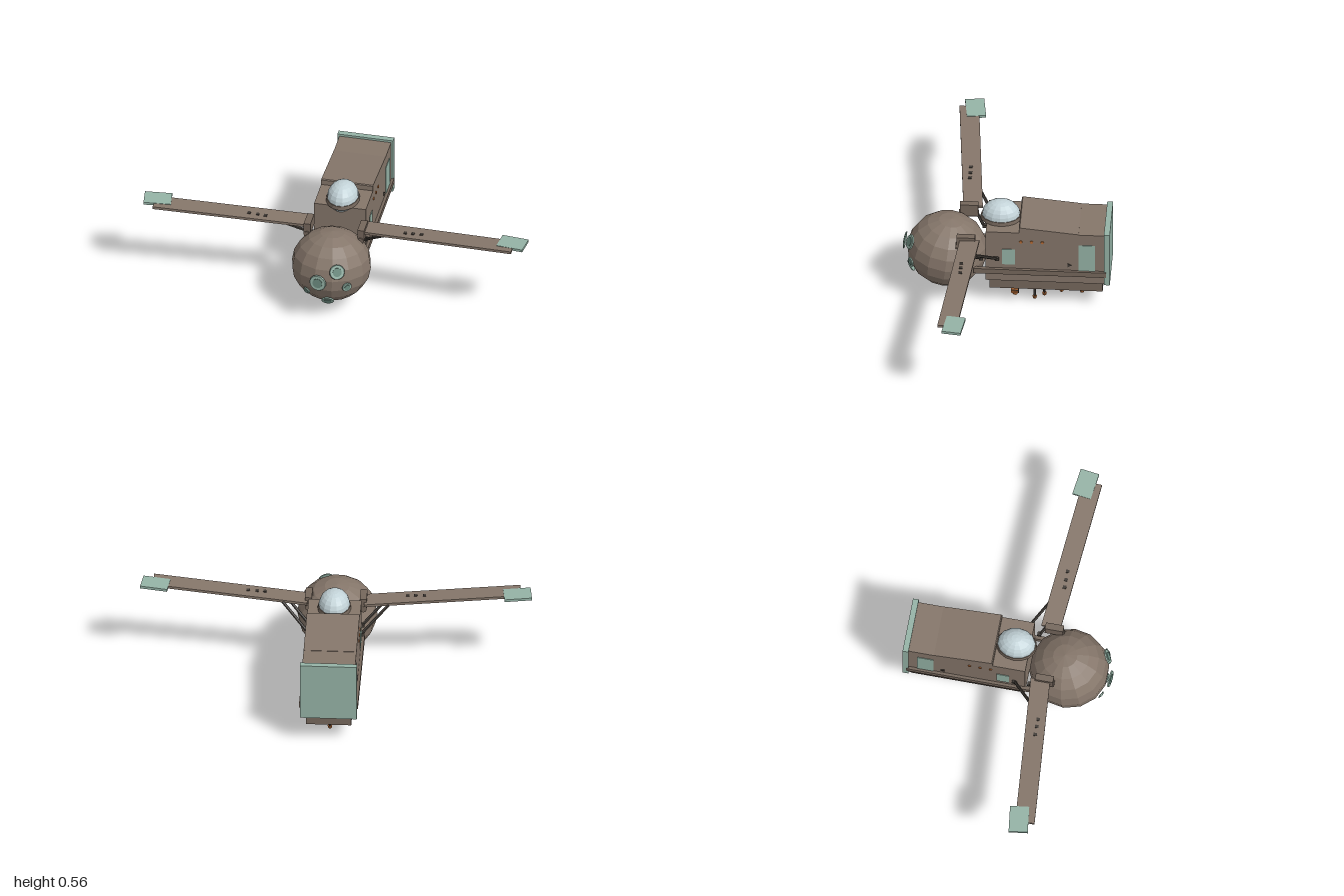
import * as THREE from 'three';

const mat = (color) => new THREE.MeshStandardMaterial({ color, flatShading: true });

export function createModel() {
  const model = new THREE.Group();
  const brown = mat(0x85766a), trim = mat(0x75675c), dark = mat(0x403b36);
  const teal = mat(0x95b3a6), deepTeal = mat(0x6c8c80), orange = mat(0xb86c35), glass = mat(0xc3d3d8);

  const add = (name, geometry, material, x = 0, y = 0, z = 0) => {
    const mesh = new THREE.Mesh(geometry, material);
    mesh.name = name;
    mesh.position.set(x, y, z);
    model.add(mesh);
    return mesh;
  };
  // box given by its width, and its y and z ranges
  const box = (name, material, x, w, y0, y1, z0, z1) =>
    add(name, new THREE.BoxGeometry(w, y1 - y0, z1 - z0), material, x, (y0 + y1) / 2, (z0 + z1) / 2);
  // rod between two points
  const rod = (name, material, a, b, r0, r1 = r0, sides = 6) => {
    const p = new THREE.Vector3(...a), q = new THREE.Vector3(...b), d = q.clone().sub(p);
    const mesh = add(name, new THREE.CylinderGeometry(r1, r0, d.length(), sides), material);
    mesh.position.copy(p).add(q).multiplyScalar(0.5);
    mesh.quaternion.setFromUnitVectors(new THREE.Vector3(0, 1, 0), d.normalize());
    return mesh;
  };

  // round nose
  const nose = add('nose', new THREE.SphereGeometry(0.205, 14, 10), brown, 0, 0.248, 0.308);
  nose.scale.y = 0.915;
  nose.rotation.x = -0.12;

  // portholes floating just off the nose: offset from its centre, radius
  const centre = new THREE.Vector3(0, 0.25, 0.31);
  const portholes = [
    [-0.025, 0.02, 0.216, 0.045], [0.07, 0.08, 0.185, 0.04], [0.12, -0.01, 0.178, 0.026],
    [-0.09, -0.06, 0.18, 0.02], [0.02, -0.105, 0.182, 0.033],
  ];
  for (const [x, y, z, r] of portholes) {
    const offset = new THREE.Vector3(x, y, z), n = offset.clone().normalize();
    const at = centre.clone().add(offset);
    const turn = new THREE.Quaternion().setFromUnitVectors(new THREE.Vector3(0, 1, 0), n);
    const rim = add('portholeRim', new THREE.CylinderGeometry(r * 0.92, r, 0.006, 14), teal);
    const pane = add('portholePane', new THREE.CylinderGeometry(r * 0.58, r * 0.58, 0.004, 14), deepTeal);
    rim.position.copy(at);
    pane.position.copy(at).addScaledVector(n, 0.004);
    rim.quaternion.copy(turn);
    pane.quaternion.copy(turn);
  }
  rod('noseSensor', orange, [-0.05, 0.1, 0.35], [-0.05, 0.068, 0.355], 0.016, 0.016, 8);

  // hull, keel and rear plate
  box('hull', brown, 0, 0.27, 0.155, 0.46, -0.51, 0.104);
  box('keel', trim, 0, 0.23, 0.092, 0.16, -0.492, 0.085);
  box('rearPlate', teal, 0, 0.29, 0.155, 0.472, -0.53, -0.5);

  // sloping roof wedge
  const side = new THREE.Shape();
  side.moveTo(0.065, 0.45);
  side.lineTo(0.37, 0.45);
  side.lineTo(0.37, 0.462);
  side.lineTo(0.07, 0.492);
  side.lineTo(0.065, 0.488);
  const roof = new THREE.ExtrudeGeometry(side, { depth: 0.27, bevelEnabled: false });
  roof.translate(0, 0, -0.135).rotateY(Math.PI / 2);
  add('roofWedge', roof, brown);

  // canopy dome on its oval collar
  add('canopy', new THREE.SphereGeometry(1, 14, 12), glass, 0, 0.48, 0.034).scale.set(0.08, 0.08, 0.098);
  add('canopyCollar', new THREE.CylinderGeometry(0.96, 1, 0.02, 16), trim, 0, 0.47, 0.034)
    .scale.set(0.086, 1, 0.106);

  for (const s of [1, -1]) {
    // side rail, windows, lamps and marker
    box('sideRail', trim, s * 0.14, 0.02, 0.205, 0.235, -0.51, 0.165);
    box('frontWindow', teal, s * 0.135, 0.006, 0.26, 0.355, -0.045, 0.02);
    box('rearWindow', teal, s * 0.135, 0.006, 0.235, 0.396, -0.455, -0.37);
    for (const z of [-0.075, -0.13, -0.185])
      add('sideLamp', new THREE.CylinderGeometry(0.008, 0.008, 0.008, 8).rotateZ(Math.PI / 2), orange, s * 0.136, 0.405, z);
    add('sideMarker', new THREE.CylinderGeometry(0.014, 0.014, 0.006, 3).rotateY(Math.PI).rotateZ(Math.PI / 2),
      dark, s * 0.136, 0.267, -0.32);

    // swept, raised wing: a box sheared along its span
    const wing = new THREE.BoxGeometry(0.79, 0.014, 0.1);
    const p = wing.attributes.position;
    for (let i = 0; i < p.count; i++) {
      const out = p.getX(i) * s;
      p.setY(i, p.getY(i) + out * 0.052);
      p.setZ(i, p.getZ(i) + out * 0.085);
    }
    wing.computeVertexNormals();
    add('wing', wing, brown, s * 0.54, 0.427, 0.219);
    const tip = add('wingTip', new THREE.BoxGeometry(0.14, 0.014, 0.098), teal, s * 0.925, 0.448, 0.22);
    tip.rotation.set(0, -s * 0.13, s * 0.03);
    for (const x of [0.365, 0.405, 0.45])
      add('wingStud', new THREE.BoxGeometry(0.016, 0.01, 0.018), dark, s * x, 0.433 + (x - 0.54) * 0.052, 0.215);

    // wing mount and braces
    box('wingMount', trim, s * 0.14, 0.035, 0.37, 0.432, 0.158, 0.252);
    rod('wingMountPin', trim, [s * 0.14, 0.37, 0.157], [s * 0.14, 0.37, 0.257], 0.0175, 0.0175, 8);
    for (const z of [0.05, 0.13]) {
      rod('wingBrace', dark, [s * 0.138, 0.295, z], [s * 0.27, 0.408, z + 0.1], 0.008);
      add('braceFoot', new THREE.BoxGeometry(0.02, 0.018, 0.02), dark, s * 0.138, 0.295, z - 0.003);
    }

    // belly thruster pod
    box('podMount', dark, s * 0.075, 0.055, 0.086, 0.094, -0.078, -0.01);
    box('pod', dark, s * 0.075, 0.036, 0.045, 0.09, -0.062, -0.024);
    rod('podNozzle', orange, [s * 0.075, 0.03, -0.043], [s * 0.075, 0.048, -0.043], 0.013, 0.011, 8);
    for (const y of [0.055, 0.075])
      box('podBand', orange, s * 0.075, 0.046, y - 0.005, y + 0.005, -0.058, -0.022);
  }

  // thin belly probes with orange feet: x, z, backward lean
  const probes = [
    [0.065, -0.142, 0], [-0.065, -0.142, 0], [0.035, -0.19, 0], [-0.035, -0.19, 0],
    [0, -0.275, 0.006], [0, -0.38, 0.014],
  ];
  for (const [x, z, lean] of probes) {
    rod('probe', dark, [x, 0.01, z], [x, 0.095, z - lean], 0.006, 0.008);
    rod('probeFoot', orange, [x, 0, z], [x, 0.014, z], 0.009, 0.012, 8);
  }
  return model;
}
